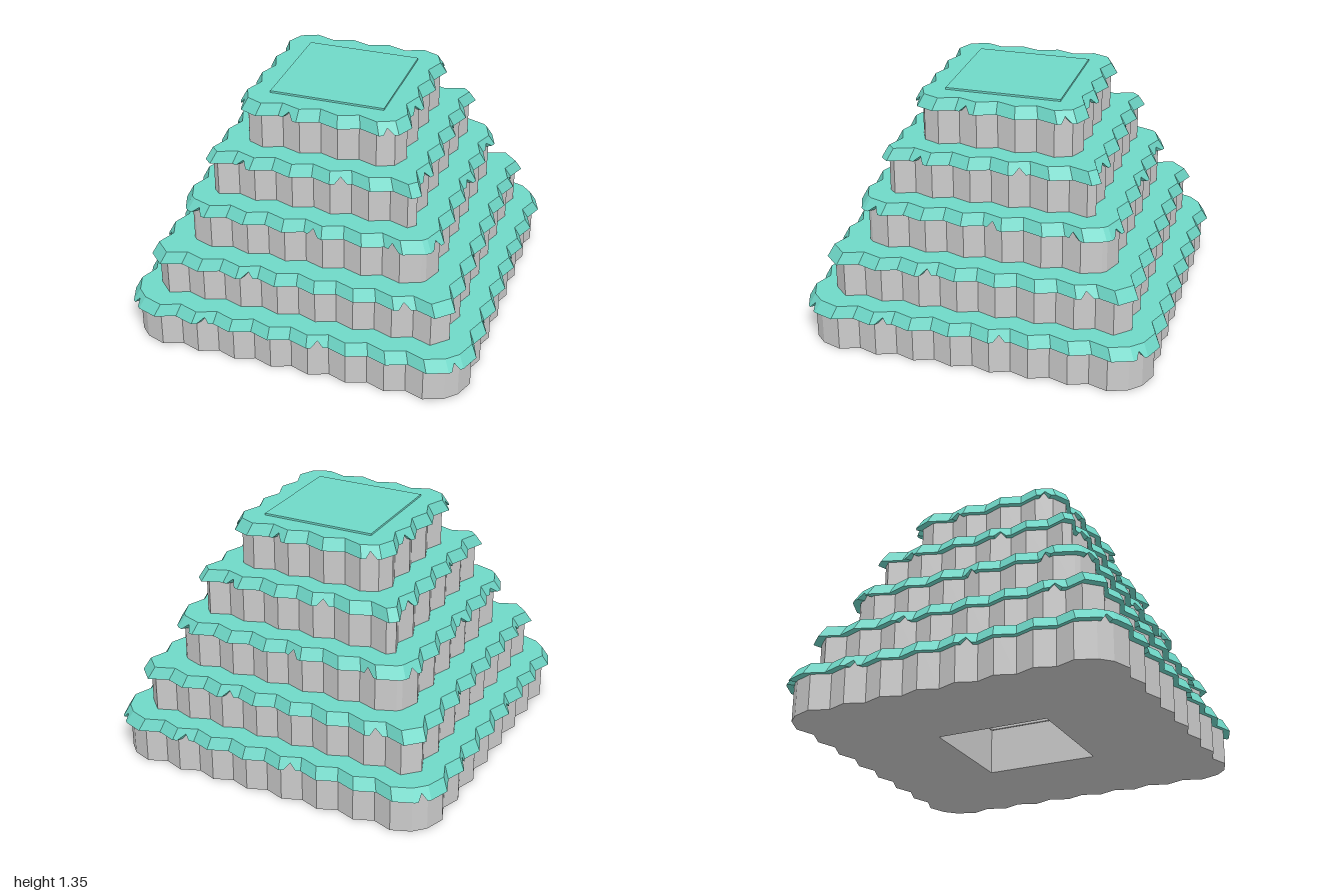
import * as THREE from 'three';

const PITCH = 0.108;   // half a zigzag wave
const WAVE = 0.04;     // depth of the zigzag
const STEP = 0.2685;   // height of one tier
const RIM = 0.065;     // height of the coloured rim
const FLARE = 0.033;   // how far the rim overhangs
const SHAFT = 0.323;   // half width of the central shaft

const stone = new THREE.MeshStandardMaterial({ color: 0xcccccc, flatShading: true });
const teal = new THREE.MeshStandardMaterial({ color: 0x6fd8c8, flatShading: true });

// half width of each tier, and the zigzag segments whose rim is chipped
const tiers = [
  { half: 0.965, chips: [-4.5, 1.5, 8.5] },
  { half: 0.84, chips: [-2.5, 5.5] },
  { half: 0.71, chips: [-5.5, 0.5, 4.5] },
  { half: 0.58, chips: [-3.5, 1.5] },
  { half: 0.455, chips: [-1.5, 3.5] },
];

// Zigzag square: one side, turned four times; k numbers the points of a side
function outline(half) {
  const n = Math.floor(half / PITCH);
  const side = [];
  for (let k = -n; k <= n; k++) {
    const z = half - (k % 2 ? 0 : WAVE);
    const x = THREE.MathUtils.clamp(k * PITCH, -z, z);
    if (x > -z) side.push({ x, z, k });
  }
  const points = [];
  let turn = side;
  for (let i = 0; i < 4; i++) {
    points.push(...turn);
    turn = turn.map(p => ({ x: p.z, z: -p.x, k: p.k }));
  }
  return points;
}

// Flat outline with the square shaft cut out
function holedShape(points) {
  const shape = new THREE.Shape(points.map(p => new THREE.Vector2(p.x, -p.z)));
  const s = SHAFT;
  shape.holes.push(new THREE.Path([[-s, -s], [-s, s], [s, s], [s, -s]].map(c => new THREE.Vector2(...c))));
  return shape;
}

// Sloping skirt with triangular chips in its lower edge, closed underneath
function skirtGeometry(points, half, chips, top) {
  const scale = (half + FLARE) / half;
  const loop = [];
  points.forEach((p, i) => {
    const q = points[(i + 1) % points.length];
    const stops = chips.includes(p.k + 0.5) ? [[0, 0], [0.22, 0], [0.5, 0.55], [0.78, 0]] : [[0, 0]];
    for (const [t, lift] of stops) {
      const x = THREE.MathUtils.lerp(p.x, q.x, t);
      const z = THREE.MathUtils.lerp(p.z, q.z, t);
      const s = THREE.MathUtils.lerp(scale, 1, lift);
      const y = top - RIM * (1 - lift);
      loop.push({ top: [x, top, z], low: [x * s, y, z * s], inner: [x * 0.99, y, z * 0.99] });
    }
  });
  const pos = [];
  const quad = (a, b, c, d) => pos.push(...a, ...b, ...c, ...a, ...c, ...d);
  loop.forEach((a, i) => {
    const b = loop[(i + 1) % loop.length];
    quad(a.low, b.low, b.top, a.top);
    quad(a.low, a.inner, b.inner, b.low);
  });
  const geometry = new THREE.BufferGeometry();
  geometry.setAttribute('position', new THREE.Float32BufferAttribute(pos, 3));
  geometry.computeVertexNormals();
  return geometry;
}

function add(parent, name, geometry, material, y = 0) {
  const mesh = new THREE.Mesh(geometry, material);
  mesh.name = name;
  mesh.position.y = y;
  parent.add(mesh);
}

export function createModel() {
  const model = new THREE.Group();
  model.name = 'steppedMound';

  tiers.forEach(({ half, chips }, i) => {
    const tier = new THREE.Group();
    tier.name = `tier${i + 1}`;
    const points = outline(half);
    const shape = holedShape(points);
    const base = i * STEP;
    const top = base + STEP;

    // stone wall, stopping just under the coloured top
    const wall = new THREE.ExtrudeGeometry(shape, { depth: STEP - 0.004, bevelEnabled: false });
    add(tier, 'wall', wall.rotateX(-Math.PI / 2), stone, base);

    // coloured top and overhanging rim
    add(tier, 'topSurface', new THREE.ShapeGeometry(shape).rotateX(-Math.PI / 2), teal, top);
    add(tier, 'rim', skirtGeometry(points, half, chips, top), teal);
    model.add(tier);
  });

  // thin plate closing the shaft
  const plate = new THREE.BoxGeometry(SHAFT * 2, 0.014, SHAFT * 2);
  add(model, 'topPlate', plate, teal, tiers.length * STEP + 0.004);
  return model;
}
